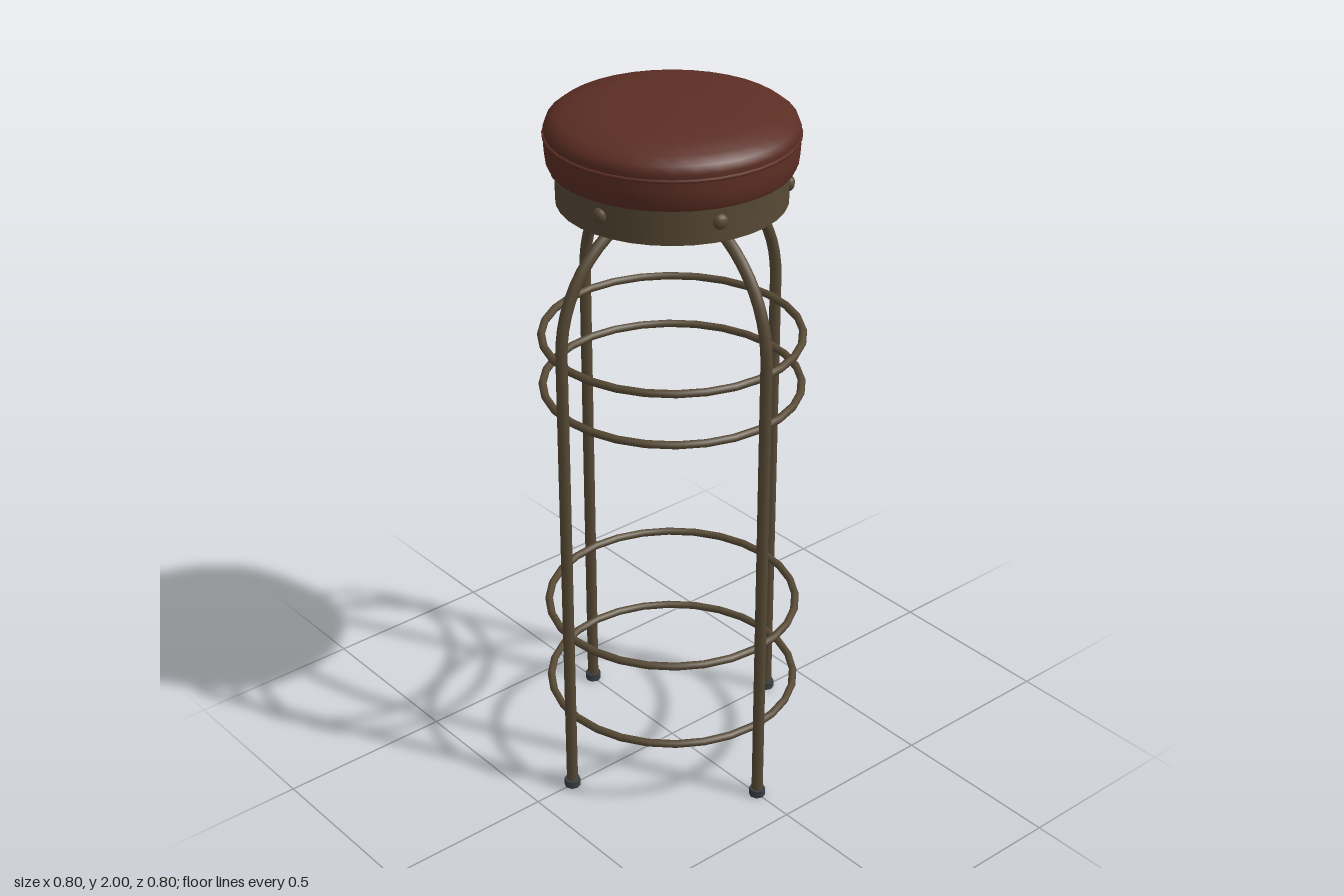
import * as THREE from 'three';

export function createModel() {
  const model = new THREE.Group();
  const mat = (name, color, side = THREE.FrontSide) => {
    const m = new THREE.MeshStandardMaterial({ color, side });
    m.name = name;
    return m;
  };
  const leather = mat('red brown leather', 0x5c2e24);
  const metal = mat('aged bronze metal', 0x574a35, THREE.DoubleSide);
  const dark = mat('dark slate', 0x3a3e44, THREE.DoubleSide);

  const add = (name, geometry, material, parent = model, x = 0, y = 0, z = 0) => {
    const mesh = new THREE.Mesh(geometry, material);
    mesh.name = name;
    mesh.position.set(x, y, z);
    parent.add(mesh);
    return mesh;
  };
  const v2 = (points) => points.map(([x, y]) => new THREE.Vector2(x, y));

  // Cushion: upright side wall and a soft domed top, split at the seam
  add('cushionSide', new THREE.LatheGeometry(v2([
    [0.322, 1.825], [0.328, 1.84], [0.332, 1.87], [0.33, 1.905],
  ]), 36), leather);
  add('cushionTop', new THREE.LatheGeometry(v2([
    [0.328, 1.905], [0.332, 1.925], [0.324, 1.945], [0.3, 1.963],
    [0.25, 1.98], [0.18, 1.992], [0.09, 1.998], [0, 2],
  ]), 36), leather);
  add('cushionUnderside', new THREE.CircleGeometry(0.322, 36).rotateX(Math.PI / 2),
    leather, model, 0, 1.825, 0);
  add('seamPiping', new THREE.TorusGeometry(0.331, 0.005, 6, 36).rotateX(Math.PI / 2),
    leather, model, 0, 1.908, 0);

  // Metal band with a dark inner face
  add('seatBand', new THREE.CylinderGeometry(0.305, 0.305, 0.1, 36, 1, true),
    metal, model, 0, 1.775, 0);
  add('bandLining', new THREE.CylinderGeometry(0.299, 0.299, 0.1, 36, 1, true),
    dark, model, 0, 1.775, 0);
  add('bandRim', new THREE.RingGeometry(0.299, 0.305, 36).rotateX(Math.PI / 2),
    metal, model, 0, 1.725, 0);

  // Six round rivets around the band
  for (let i = 0; i < 6; i++) {
    const a = THREE.MathUtils.degToRad(13 + i * 60);
    const rivet = add('rivet', new THREE.SphereGeometry(0.021, 10, 8), metal, model,
      0.304 * Math.sin(a), 1.78, 0.304 * Math.cos(a));
    rivet.rotation.y = a;
    rivet.scale.z = 0.7;
  }

  // Swivel plate and hollow centre post
  add('swivelPlate', new THREE.BoxGeometry(0.22, 0.02, 0.22), dark, model, 0, 1.81, 0);
  add('centrePost', new THREE.LatheGeometry(v2([
    [0.037, 1.8], [0.037, 1.61], [0.05, 1.61], [0.05, 1.8],
  ]), 16), metal);

  // Four legs: straight tube, arch into the post, and a foot
  const arch = new THREE.CubicBezierCurve3(
    new THREE.Vector3(0.375, 1.38, 0), new THREE.Vector3(0.375, 1.6, 0),
    new THREE.Vector3(0.2, 1.735, 0), new THREE.Vector3(0.03, 1.735, 0));
  for (let i = 0; i < 4; i++) {
    const leg = new THREE.Group();
    leg.name = 'leg';
    leg.rotation.y = i * Math.PI / 2;
    model.add(leg);
    add('legTube', new THREE.CylinderGeometry(0.016, 0.016, 1.37, 8, 1, true),
      metal, leg, 0.375, 0.695, 0);
    add('legArch', new THREE.TubeGeometry(arch, 14, 0.016, 8), metal, leg);
    add('foot', new THREE.CylinderGeometry(0.023, 0.023, 0.022, 8), dark, leg, 0.375, 0.011, 0);
  }

  // Hoops tying the legs together
  for (const y of [0.225, 0.487, 1.182, 1.332]) {
    add('hoop', new THREE.TorusGeometry(0.352, 0.011, 8, 28).rotateX(Math.PI / 2),
      metal, model, 0, y, 0);
  }
  return model;
}
